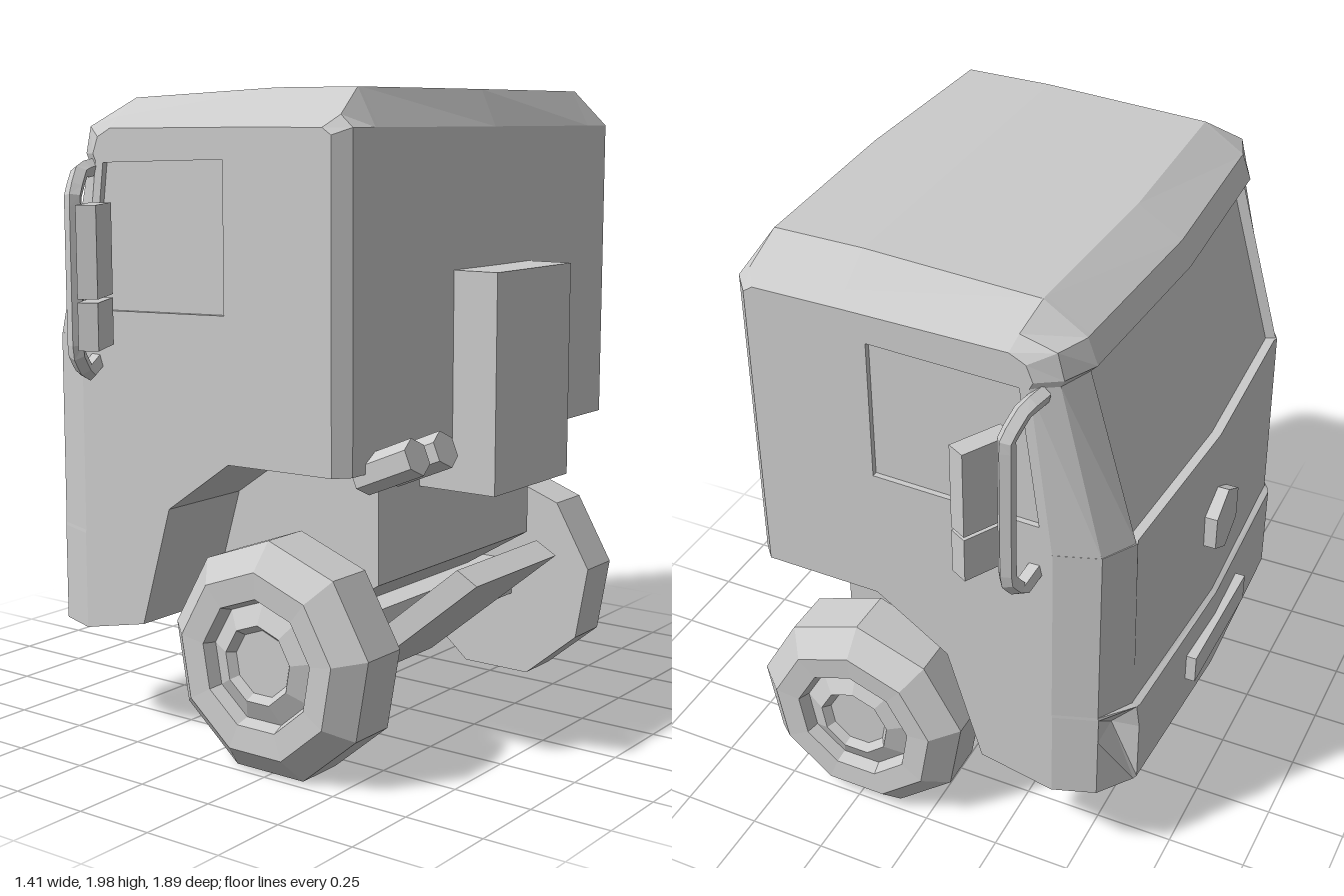
import * as THREE from 'three';

const material = new THREE.MeshStandardMaterial({ color: 0xcccccc, flatShading: true });

// Cab cross-sections from the centre outwards: z, roof height limit, rear x, roof rear x, front x values.
const FRONT_Y = [1.975, 1.89, 1.81, 1.79, 1.26, 1.26, 0.66, 0.65, 0.56, 0.35];
const STATIONS = [
  { z: 0, cap: 2, rear: 0.55, roof: 0.5, front: [-0.36, -0.5, -0.53, -0.49, -0.63, -0.66, -0.67, -0.685, -0.685, -0.685] },
  { z: 0.59, cap: 2, rear: 0.54, roof: 0.48, front: [-0.34, -0.47, -0.5, -0.45, -0.6, -0.63, -0.64, -0.66, -0.66, -0.66] },
  { z: 0.605, cap: 2, rear: 0.54, roof: 0.48, front: [-0.34, -0.47, -0.5, -0.48, -0.63, -0.635, -0.64, -0.655, -0.575, -0.655] },
  { z: 0.71, cap: 1.925, rear: 0.54, roof: 0.5, front: [-0.32, -0.43, -0.45, -0.44, -0.57, -0.572, -0.574, -0.576, -0.576, -0.576] },
  { z: 0.755, cap: 1.89, rear: 0.5, roof: 0.47, front: [-0.31, -0.36, -0.38, -0.37, -0.44, -0.442, -0.444, -0.446, -0.446, -0.446] },
];

function profile(s) {
  const arch = [[-0.21, 0.4], [-0.1, 0.77], [0.13, 0.93]];
  const rear = [[s.rear, 0.935], [s.rear, Math.min(1.89, s.cap - 0.02)], [s.roof, s.cap], [0.2, s.cap]];
  const front = s.front.map((x, i) => [x, Math.min(FRONT_Y[i], s.cap - 0.005 - 0.025 * i)]);
  return [...arch, ...rear, ...front];
}

function add(parent, name, geometry, x = 0, y = 0, z = 0) {
  const mesh = new THREE.Mesh(geometry, material);
  mesh.name = name;
  mesh.position.set(x, y, z);
  parent.add(mesh);
  return mesh;
}

const shapeOf = (pts) => new THREE.Shape(pts.map(([x, y]) => new THREE.Vector2(x, y)));

// Side outline pulled out along z, centred on z = 0
function slab(pts, width) {
  const g = new THREE.ExtrudeGeometry(shapeOf(pts), { depth: width, bevelEnabled: false });
  return g.translate(0, 0, -width / 2);
}

// Skin joining the cross-sections from right to left
function cabShell() {
  const mirrored = STATIONS.slice(1).reverse().map((s) => ({ ...s, z: -s.z }));
  const rings = [...mirrored, ...STATIONS].map((s) => profile(s).map(([x, y]) => [x, y, s.z]));
  const pos = [];
  for (let j = 0; j < rings.length - 1; j++) {
    for (let i = 0; i < rings[j].length; i++) {
      const k = (i + 1) % rings[j].length;
      const a = rings[j][i], b = rings[j][k], c = rings[j + 1][k], d = rings[j + 1][i];
      pos.push(...a, ...b, ...c, ...a, ...c, ...d);
    }
  }
  const g = new THREE.BufferGeometry();
  g.setAttribute('position', new THREE.Float32BufferAttribute(pos, 3));
  g.computeVertexNormals();
  return g;
}

// Flat door side with its window opening
function doorPanel() {
  const shape = shapeOf(profile(STATIONS[STATIONS.length - 1]));
  const hole = [[-0.4, 1.345], [-0.34, 1.785], [0.12, 1.8], [0.12, 1.36]];
  shape.holes.push(new THREE.Path(hole.map(([x, y]) => new THREE.Vector2(x, y))));
  return new THREE.ExtrudeGeometry(shape, { depth: 0.025, bevelEnabled: false }).translate(0, 0, 0.73);
}

// Nine-sided tyre and rim as one turned profile
function wheelGeometry(side) {
  const pts = [[0, 0.555], [0.36, 0.555], [0.36, 0.71], [0.28, 0.78], [0.2, 0.775], [0.185, 0.735],
    [0.12, 0.765], [0.1, 0.74], [0, 0.74]].map(([r, h]) => new THREE.Vector2(r, h));
  const g = new THREE.LatheGeometry(pts, 9);
  if (side > 0) g.rotateY(Math.PI);
  return g.rotateX(side * Math.PI / 2);
}

function mirrorAssembly() {
  const group = new THREE.Group();
  const path = new THREE.CurvePath();
  const pts = [[-0.4, 1.77, 0.73], [-0.38, 1.76, 0.81], [-0.355, 1.69, 0.865], [-0.355, 1.23, 0.865],
    [-0.37, 1.16, 0.81], [-0.39, 1.2, 0.73]].map((p) => new THREE.Vector3(...p));
  const curve = new THREE.CatmullRomCurve3(pts, false, 'catmullrom', 0.05);
  add(group, 'mirrorArm', new THREE.TubeGeometry(curve, 28, 0.027, 5));
  for (const [y, h] of [[1.535, 0.27], [1.32, 0.14]]) {
    const head = add(group, 'mirrorHead', new THREE.BoxGeometry(0.06, h, 0.165), -0.28, y, 0.86);
    head.rotation.y = 0.5;
  }
  return group;
}

export function createModel() {
  const model = new THREE.Group();
  model.name = 'truckCab';

  // Cab body
  add(model, 'cabShell', cabShell());
  for (const side of [1, -1]) {
    const label = side > 0 ? 'left' : 'right';
    add(model, label + 'DoorPanel', doorPanel()).scale.z = side;
    const pane = slab([[-0.42, 1.33], [-0.35, 1.8], [0.14, 1.82], [0.14, 1.34]], 0.01);
    add(model, label + 'SideWindow', pane, 0, 0, side * 0.732);
    add(model, label + 'Wheel', wheelGeometry(side), 0.24, 0.355, 0);
    const mirror = mirrorAssembly();
    mirror.name = label + 'Mirror';
    mirror.scale.z = side;
    model.add(mirror);
  }

  // Front details
  const plate = new THREE.CylinderGeometry(0.11, 0.11, 0.05, 6).rotateZ(Math.PI / 2);
  plate.rotateX(Math.PI / 2);
  add(model, 'grillePlate', plate, -0.675, 0.955, 0);
  add(model, 'numberPlate', new THREE.BoxGeometry(0.05, 0.095, 0.46), -0.683, 0.508, 0);

  // Chassis
  add(model, 'engineHousing', slab([[-0.2, 0.41], [0.2, 0.41], [0.43, 0.55], [0.43, 0.96], [-0.12, 0.96]], 0.86));
  add(model, 'axle', new THREE.BoxGeometry(0.12, 0.12, 1.13), 0.24, 0.35, 0);
  add(model, 'couplingRamp', slab([[0.58, 0.58], [0.11, 0.19], [0.18, 0.15], [0.65, 0.54]], 0.47));

  // Rear fittings
  add(model, 'rearCabinet', new THREE.BoxGeometry(0.27, 0.66, 0.43), 0.56, 1.145, 0);
  for (const z of [0.46, 0.603]) {
    const pipe = new THREE.CylinderGeometry(0.055, 0.055, 0.2, 6).rotateY(Math.PI / 2).rotateZ(-Math.PI / 2);
    add(model, 'exhaustPipe', pipe, 0.59, 0.955, z).rotation.z = 0.4;
  }
  return model;
}
